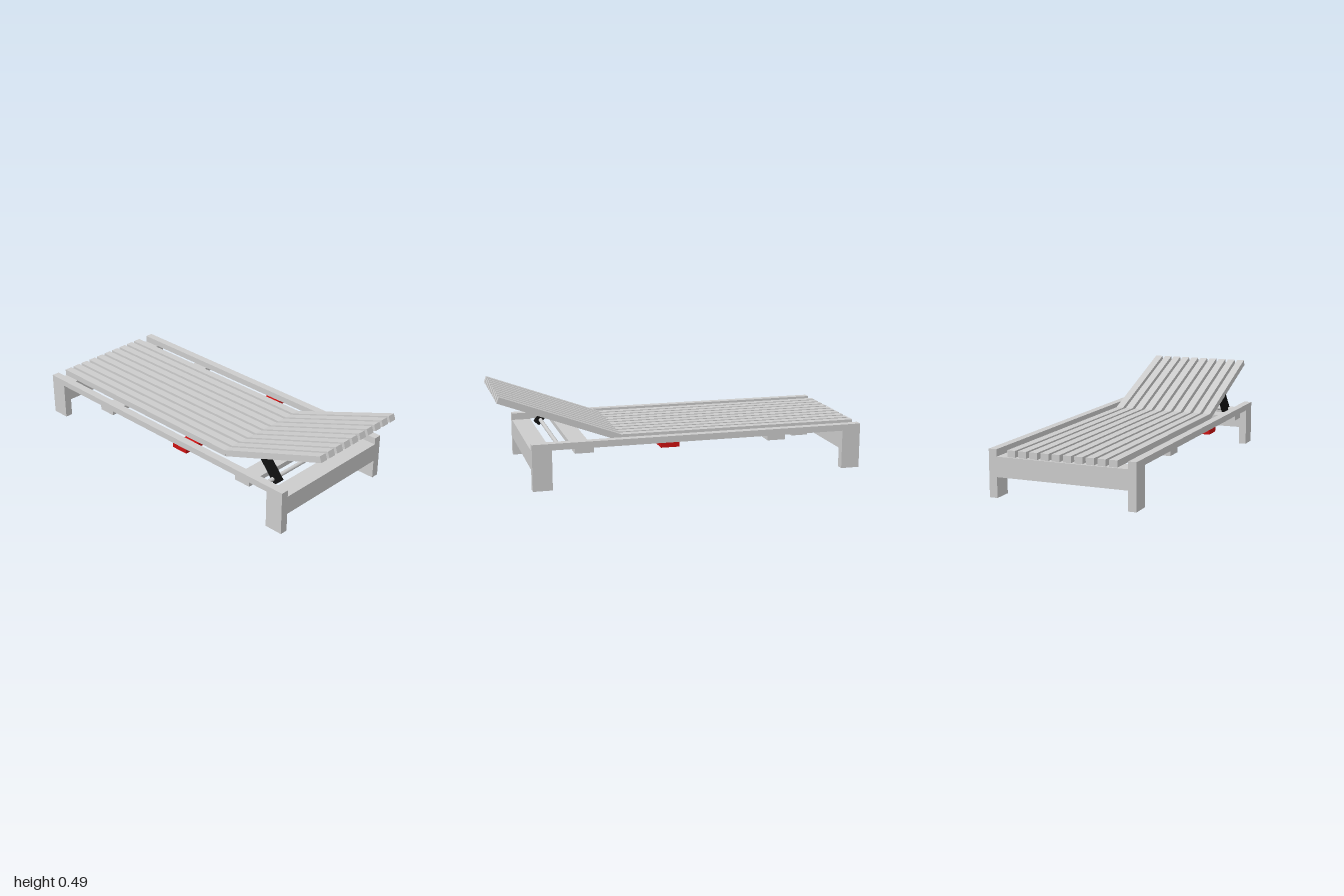
import * as THREE from 'three';

export function createModel() {
  const model = new THREE.Group();
  const grey = new THREE.MeshStandardMaterial({ color: 0xcccccc });
  const red = new THREE.MeshStandardMaterial({ color: 0xcc1111 });
  const black = new THREE.MeshStandardMaterial({ color: 0x111111 });

  const add = (name, geometry, material = grey) => {
    const mesh = new THREE.Mesh(geometry, material);
    mesh.name = name;
    model.add(mesh);
    return mesh;
  };
  // Box given by its extents on each axis
  const block = (name, [x0, x1], [y0, y1], [z0, z1], material) => {
    const mesh = add(name, new THREE.BoxGeometry(x1 - x0, y1 - y0, z1 - z0), material);
    mesh.position.set((x0 + x1) / 2, (y0 + y1) / 2, (z0 + z1) / 2);
    return mesh;
  };

  const outer = 0.402, inner = 0.358;
  const deck = 0.216, top = 0.251;
  const ends = { front: [0.735, 0.84], rear: [-1, -0.895] };

  // Side rails and legs
  for (const [side, s] of [['left', 1], ['right', -1]]) {
    const x = s > 0 ? [inner, outer] : [-outer, -inner];
    block(side + 'SideRail', x, [deck, top], [-1, 0.84]);
    for (const end in ends) {
      block(`${side}${end}Leg`, x, [s > 0 ? 0 : 0.005, deck], ends[end]);
    }
  }

  // Aprons joining the legs
  for (const end in ends) block(end + 'Apron', [-inner, inner], [0.108, 0.213], ends[end]);

  // Flat cross battens under the rails
  block('frontBatten', [-outer, outer], [0.19, deck], [0.513, 0.615]);
  block('middleBatten', [-outer, outer], [0.19, deck], [0.048, 0.15], red);
  block('rearBatten', [-outer, outer], [0.19, deck], [-0.555, -0.453]);

  // Round bar that holds the backrest strut
  const bar = add('supportBar', new THREE.CylinderGeometry(0.011, 0.011, 2 * inner, 24));
  bar.rotation.z = Math.PI / 2;
  bar.position.set(0, 0.226, 0.69);

  // Seat slats and the tilted backrest slats
  const slatWidth = 0.044, tilt = Math.atan2(0.24, 0.648);
  for (let i = 0; i < 10; i++) {
    const x = -0.281 + i * 0.0617;
    block('seatSlat', [x - slatWidth / 2, x + slatWidth / 2], [deck, top], [-1, 0.345]);
    const back = add('backrestSlat', new THREE.BoxGeometry(slatWidth, 0.035, 0.691));
    back.position.set(x, 0.354, 0.67);
    back.rotation.x = -tilt;
  }

  // Prop strut under the backrest
  const strut = add('backrestStrut', new THREE.BoxGeometry(slatWidth, 0.148, 0.033), black);
  strut.position.set(-0.281, 0.262, 0.664);
  strut.rotation.x = -0.7;

  return model;
}
